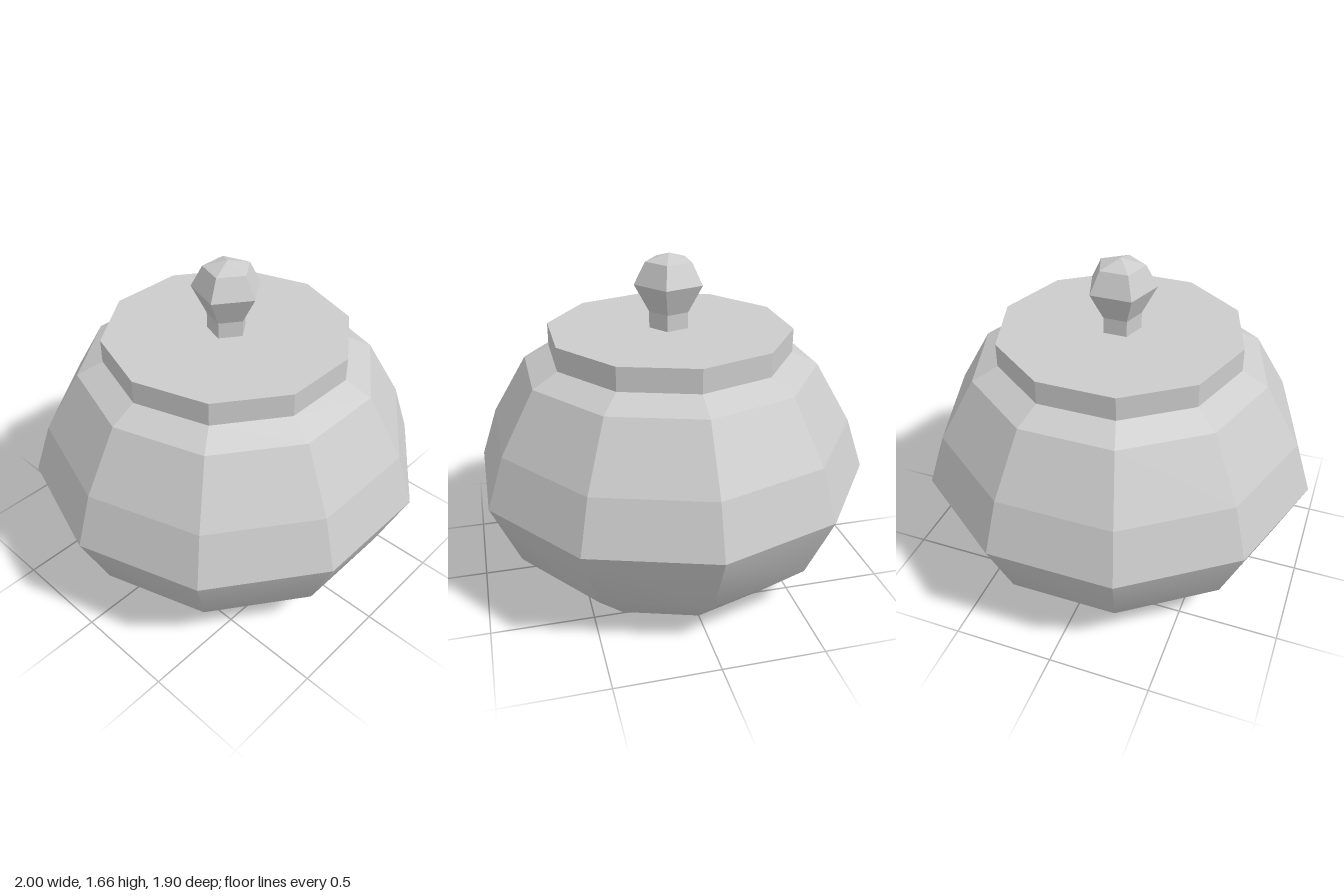
import * as THREE from 'three';
import { toCreasedNormals } from 'three/addons/utils/BufferGeometryUtils.js';

const SIDES = 10;
const QUARTER = Math.PI / 2;

// Faceted turned shape from [radius, height] pairs, listed bottom to top
function turned(profile, sides, start) {
  const points = profile.map(([r, y]) => new THREE.Vector2(r, y));
  return new THREE.LatheGeometry(points, sides, start);
}

export function createModel() {
  const group = new THREE.Group();
  const flat = new THREE.MeshStandardMaterial({ color: 0xcccccc, flatShading: true });
  const smooth = new THREE.MeshStandardMaterial({ color: 0xcccccc });

  const add = (name, geometry, material = flat) => {
    const mesh = new THREE.Mesh(geometry, material);
    mesh.name = name;
    group.add(mesh);
  };

  // Bowl: soft across its ring, sharp between its ten columns
  const bowl = turned([[0.61, 0], [0.856, 0.235], [1, 0.562]], SIDES, QUARTER);
  add('bowl', toCreasedNormals(bowl, THREE.MathUtils.degToRad(23.5)), smooth);
  add('base', new THREE.CircleGeometry(0.61, SIDES).rotateX(QUARTER));

  // Shoulder: flat bands closing in to the lid
  add('shoulder', turned([[1, 0.562], [0.914, 0.818], [0.738, 1.118], [0.61, 1.182]], SIDES, QUARTER));

  // Lid: ten-sided disc
  const lid = new THREE.CylinderGeometry(0.61, 0.61, 0.117, SIDES, 1, false, QUARTER);
  add('lid', lid.translate(0, 1.2405, 0));

  // Knob: five-sided stem and gem-like head, one corner to the front
  add('knob', turned([[0.1, 1.299], [0.1, 1.38], [0.174, 1.519], [0.118, 1.626], [0, 1.663]], 5, 0));

  return group;
}
